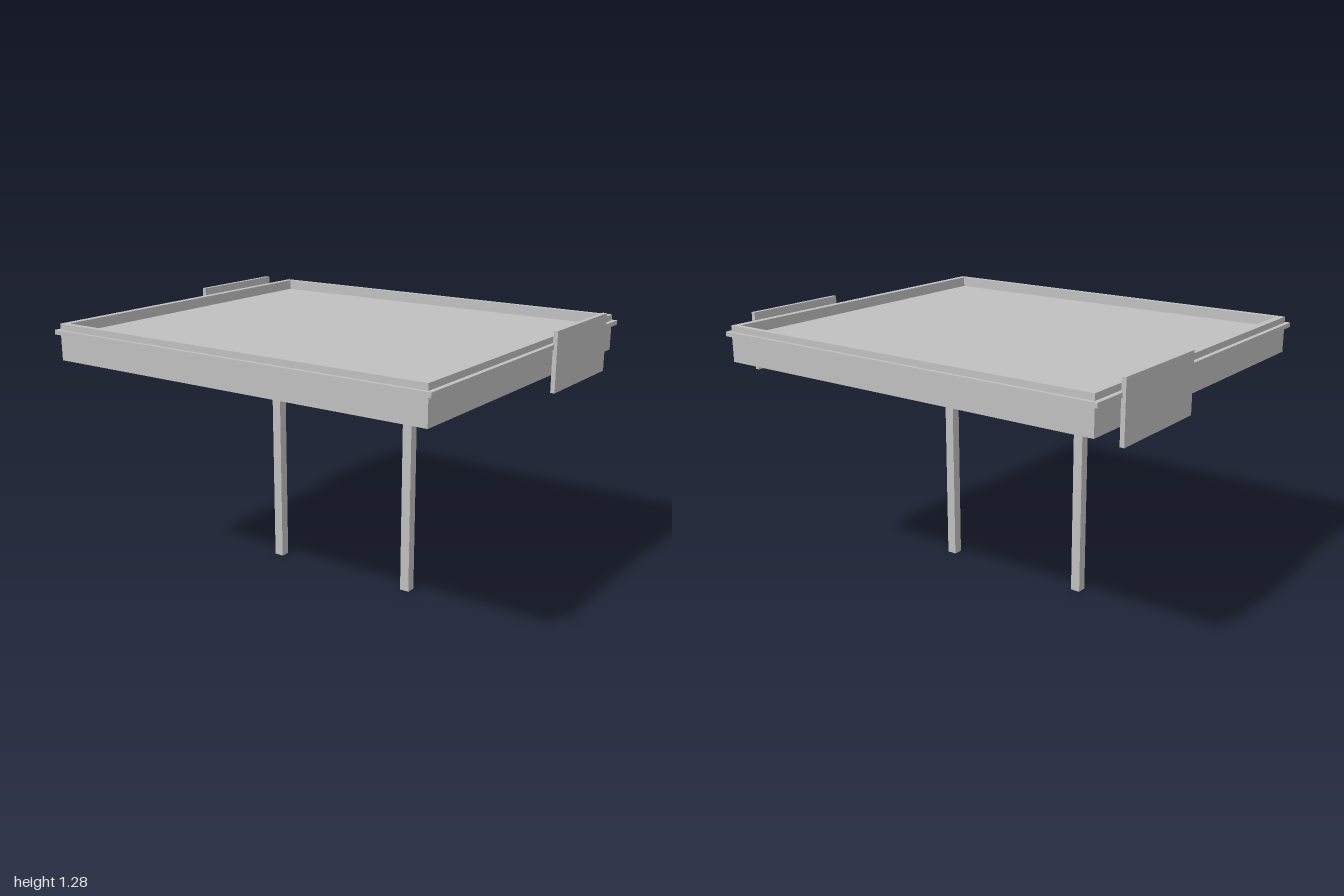
import * as THREE from 'three';

export function createModel() {
  const model = new THREE.Group();
  const grey = new THREE.MeshStandardMaterial({ color: 0xc0c0c0 });
  grey.name = 'plain grey';

  // Box given by its minimum and maximum corners
  function box(name, [x0, y0, z0], [x1, y1, z1]) {
    const mesh = new THREE.Mesh(new THREE.BoxGeometry(x1 - x0, y1 - y0, z1 - z0), grey);
    mesh.position.set((x0 + x1) / 2, (y0 + y1) / 2, (z0 + z1) / 2);
    mesh.name = name;
    model.add(mesh);
  }

  // Rectangular ring lying flat, from half sizes
  function ring(name, outerX, outerZ, innerX, innerZ, y0, y1) {
    const corners = (x, z) => [[-x, -z], [x, -z], [x, z], [-x, z]].map(p => new THREE.Vector2(...p));
    const shape = new THREE.Shape(corners(outerX, outerZ));
    shape.holes.push(new THREE.Path(corners(innerX, innerZ).reverse()));
    const geometry = new THREE.ExtrudeGeometry(shape, { depth: y1 - y0, bevelEnabled: false });
    geometry.rotateX(-Math.PI / 2);
    const mesh = new THREE.Mesh(geometry, grey);
    mesh.position.y = y0;
    mesh.name = name;
    model.add(mesh);
  }

  // Canopy slab with a raised parapet and a projecting trim band
  box('canopySlab', [-0.83, 1.08, -0.964], [0.83, 1.2, 0.964]);
  ring('parapet', 0.83, 0.964, 0.803, 0.932, 1.2, 1.248);
  ring('trimBand', 0.846, 0.985, 0.82, 0.95, 1.199, 1.22);

  // Square posts and sign panels, one of each at both ends
  for (const side of [1, -1]) {
    const post = side > 0 ? 0.38 : -0.373;
    box('post', [-0.031, 0, post - 0.023], [0.014, 1.08, post + 0.023]);
    const panel = side * 0.99;
    box('signPanel', [0.153, 1.011, panel - 0.01], [0.677, 1.28, panel + 0.01]);
  }

  return model;
}
